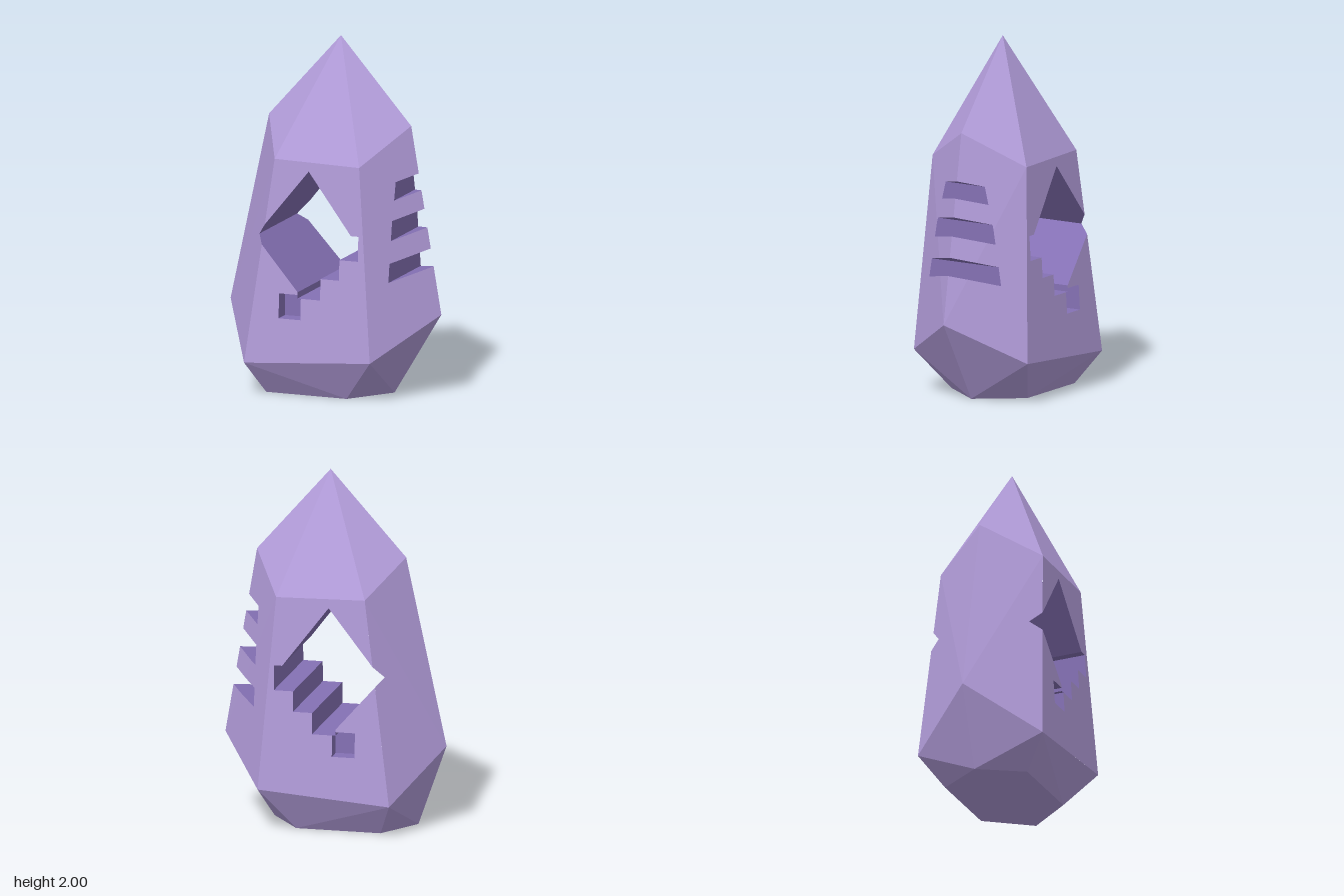
import * as THREE from 'three';

// Ring corners of the front half (the back half is mirrored in z)
const apex = [0.03, 2, 0];
const [uL, uFL, uFR, uR] = [[-0.4, 1.52, 0], [-0.24, 1.34, 0.31], [0.265, 1.33, 0.31], [0.45, 1.52, 0]];
const [mL, mFL, mFR, mR] = [[-0.63, 0.455, 0], [-0.395, 0.185, 0.379], [0.355, 0.24, 0.375], [0.63, 0.465, 0]];
const [bL, bFL, bFR, bR] = [[-0.47, 0, 0], [-0.315, 0, 0.25], [0.165, 0, 0.25], [0.35, 0, 0]];

// Facets, counter-clockwise seen from the front
const sideFacets = [
  [mFR, uFR, uFL, mFL],
  [uFR, mR, uR], [uFR, mFR, mR],
  [uFL, uL, mL], [uFL, mL, mFL],
];
const otherFacets = [
  [apex, uL, uFL], [apex, uFL, uFR], [apex, uFR, uR],
  [mL, bL, mFL], [mFL, bL, bFL], [mFL, bFL, bFR],
  [mFL, bFR, mFR], [mFR, bFR, bR], [mFR, bR, mR],
];

// Height z(x, y) of the plane through a facet
function plane([a, b, c]) {
  const n = new THREE.Vector3(b[0] - a[0], b[1] - a[1], b[2] - a[2])
    .cross(new THREE.Vector3(c[0] - a[0], c[1] - a[1], c[2] - a[2]));
  return (x, y) => a[2] - (n.x * (x - a[0]) + n.y * (y - a[1])) / n.z;
}
const planes = [...sideFacets.map(plane), () => 0];
const height = (x, y) => Math.min(...planes.slice(0, -1).map((p) => p(x, y)));

// Cut outlines, counter-clockwise in x, y
const rect = (x0, y0, x1, y1) => [[x0, y0], [x1, y0], [x1, y1], [x0, y1]];
const window_ = [
  [-0.345, 0.9], [-0.085, 0.605], [-0.085, 0.57], [0.05, 0.57], [0.05, 0.69], [0.16, 0.69],
  [0.16, 0.805], [0.27, 0.805], [0.27, 0.945], [0.225, 0.945], [-0.035, 1.285],
];
const windowParts = [
  [window_[0], window_[1], window_[9], window_[10]],
  rect(-0.085, 0.57, 0.05, 0.76), rect(0.05, 0.69, 0.16, 0.88), rect(0.16, 0.805, 0.27, 0.945),
];
const pit = [[-0.195, 0.45], [-0.065, 0.45], [-0.065, 0.57], [-0.085, 0.57], [-0.085, 0.59], [-0.195, 0.59]];
const pitParts = [rect(-0.195, 0.45, -0.065, 0.57), rect(-0.195, 0.57, -0.085, 0.59)];
const pitFloor = 0.27;
const notches = [[1.125, 1.225], [0.905, 1.015], [0.675, 0.78]].map(([lo, hi]) => [
  [0.41, lo], [0.75, lo + 0.119], [0.75, hi + 0.121], [0.41, hi],
]);

// Keep the part of a convex polygon left of the line a-b
function clip(poly, a, b) {
  const side = (p) => (b[0] - a[0]) * (p[1] - a[1]) - (b[1] - a[1]) * (p[0] - a[0]);
  const out = [];
  poly.forEach((p, i) => {
    const q = poly[(i + 1) % poly.length];
    const sp = side(p), sq = side(q);
    if (sp >= 0) out.push(p);
    if (sp * sq < 0) {
      const t = sp / (sp - sq);
      out.push([p[0] + t * (q[0] - p[0]), p[1] + t * (q[1] - p[1])]);
    }
  });
  return out;
}

const area = (poly) => poly.reduce((s, p, i) => {
  const q = poly[(i + 1) % poly.length];
  return s + (p[0] * q[1] - q[0] * p[1]) / 2;
}, 0);

// Convex pieces of a polygon left after removing a convex cutter
function subtract(poly, cutter) {
  const out = [];
  let rest = poly;
  cutter.forEach((a, i) => {
    const b = cutter[(i + 1) % cutter.length];
    const piece = clip(rest, b, a);
    if (piece.length > 2 && area(piece) > 1e-8) out.push(piece);
    rest = clip(rest, a, b);
  });
  return rest.length > 2 && area(rest) > 1e-8 ? out : [poly];
}

// Add a convex polygon and its mirror image
function addPolygon(pos, pts) {
  for (let i = 1; i < pts.length - 1; i++) {
    const tri = [pts[0], pts[i], pts[i + 1]];
    tri.forEach((p) => pos.push(p[0], p[1], p[2]));
    tri.reverse().forEach((p) => pos.push(p[0], p[1], -p[2]));
  }
}

// Walls of a cut, from depth lo out to the crystal surface
function addWalls(pos, outline, lo) {
  outline.forEach((a, i) => {
    const b = outline[(i + 1) % outline.length];
    const at = (t) => [a[0] + t * (b[0] - a[0]), a[1] + t * (b[1] - a[1])];
    // Break the edge wherever it crosses from one facet to another
    const ts = [0, 1];
    planes.forEach((p, j) => planes.slice(j + 1).forEach((q) => {
      const d0 = p(...a) - q(...a), d1 = p(...b) - q(...b);
      if (d0 * d1 < 0) ts.push(d0 / (d0 - d1));
    }));
    ts.sort((s, t) => s - t);
    for (let k = 0; k < ts.length - 1; k++) {
      const p = at(ts[k]), q = at(ts[k + 1]);
      if (ts[k + 1] - ts[k] < 1e-6 || height(...at((ts[k] + ts[k + 1]) / 2)) <= lo) continue;
      addPolygon(pos, [[...p, height(...p)], [...q, height(...q)], [...q, lo], [...p, lo]]);
    }
  });
}

function makeMesh(name, pos, material) {
  const geometry = new THREE.BufferGeometry();
  geometry.setAttribute('position', new THREE.Float32BufferAttribute(pos, 3));
  geometry.computeVertexNormals();
  const mesh = new THREE.Mesh(geometry, material);
  mesh.name = name;
  return mesh;
}

export function createModel() {
  const crystal = new THREE.MeshStandardMaterial({ color: 0xb39ddb });
  crystal.name = 'lilac crystal';
  const inner = new THREE.MeshStandardMaterial({ color: 0x8571b5 });
  inner.name = 'deep violet cut';

  const group = new THREE.Group();
  group.name = 'carvedCrystal';

  // Faceted shell with the cuts removed
  const shell = [];
  const cutters = [...windowParts, ...pitParts, ...notches];
  sideFacets.forEach((facet, i) => {
    let pieces = [facet.map(([x, y]) => [x, y])];
    cutters.forEach((c) => { pieces = pieces.flatMap((p) => subtract(p, c)); });
    pieces.forEach((p) => addPolygon(shell, p.map(([x, y]) => [x, y, planes[i](x, y)])));
  });
  otherFacets.forEach((f) => addPolygon(shell, f));
  addPolygon(shell, [bL, bR, bFR, bFL]);
  group.add(makeMesh('crystalShell', shell, crystal));

  // Stepped window running right through
  const windowPos = [];
  addWalls(windowPos, window_, 0);
  group.add(makeMesh('windowWalls', windowPos, inner));

  // Shallow square pit on front and back
  const pitPos = [];
  addWalls(pitPos, pit, pitFloor);
  pitParts.forEach((r) => addPolygon(pitPos, r.map(([x, y]) => [x, y, pitFloor])));
  group.add(makeMesh('squarePits', pitPos, inner));

  // Slanted notches in the side edge
  notches.forEach((n, i) => {
    const pos = [];
    addWalls(pos, n, 0);
    group.add(makeMesh('edgeNotch' + (i + 1), pos, inner));
  });
  return group;
}
